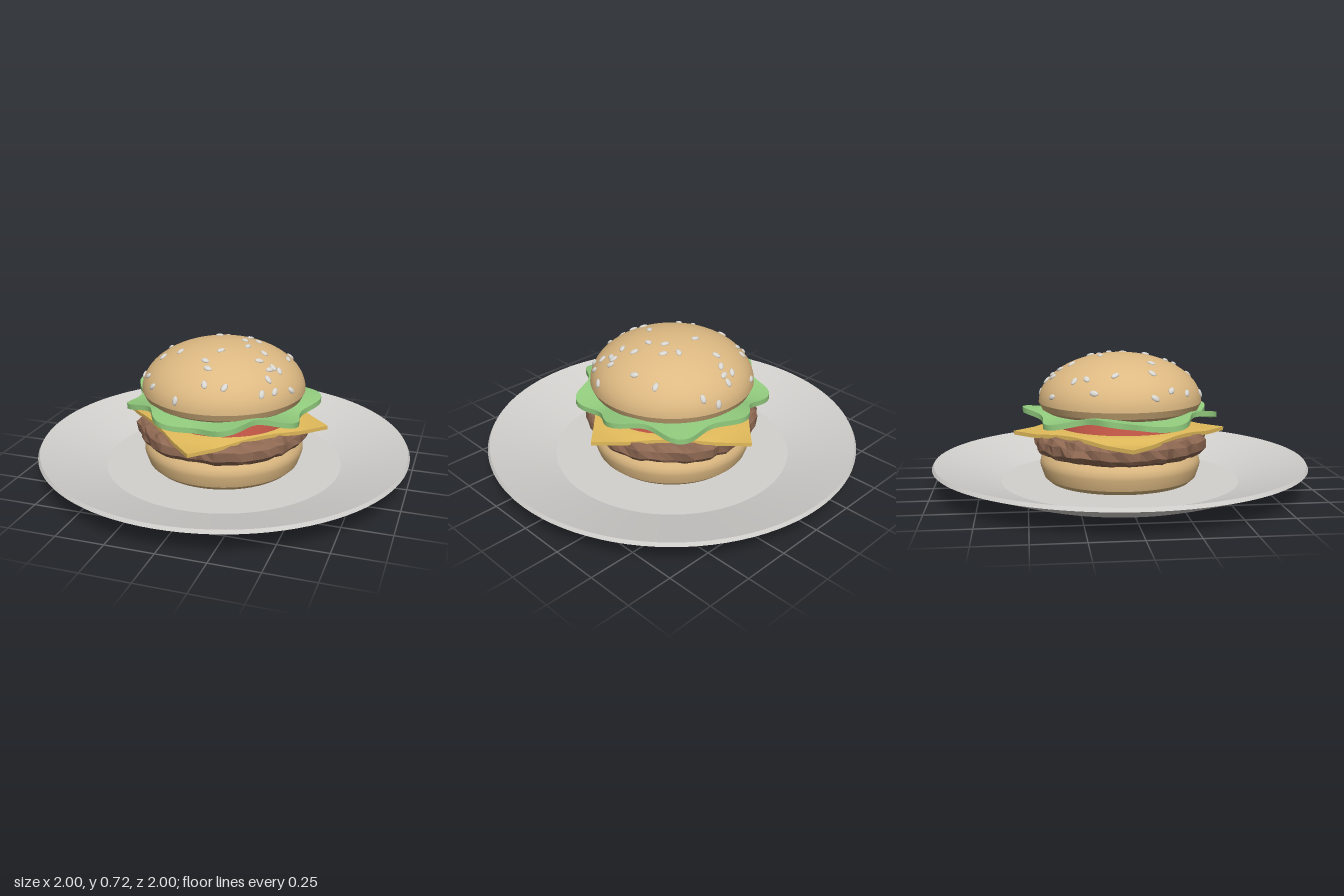
import * as THREE from 'three';
import { toCreasedNormals } from 'three/addons/utils/BufferGeometryUtils.js';

const mat = (name, color) => {
  const m = new THREE.MeshStandardMaterial({ color });
  m.name = name;
  return m;
};

// Small seeded random generator
function seeded(seed) {
  let s = seed;
  return () => (s = (s * 16807) % 2147483647) / 2147483647;
}

const lathe = (points, segments) =>
  new THREE.LatheGeometry(points.map(([x, y]) => new THREE.Vector2(x, y)), segments);

// Move every vertex by a rule, in place
function reshape(geo, rule) {
  const p = geo.attributes.position;
  const v = new THREE.Vector3();
  for (let i = 0; i < p.count; i++) {
    v.fromBufferAttribute(p, i);
    rule(v, i);
    p.setXYZ(i, v.x, v.y, v.z);
  }
  return geo;
}

// Upper bun is a half ellipsoid above its widest line
const BUN = { r: 0.435, base: 0.46, h: 0.258 };

// Seed positions on the bun seen from above, in hundredths (x, z pairs)
const SEEDS = [
  -21, -37, -7, -36, -1, -39, -1, -36, 9, -42, 16, -38, -3, -32, -6, -26,
  -26, -26, -29, -20, -37, -17, -32, -6, -6, -11, 10, -15, 16, -10, 10, -5,
  31, -20, 33, -7, 14, 3, 23, 4, -40, 13, -29, 13, -19, 14, -34, 22,
  3, 14, -2, 24, 1, 29, 2, 37, 12, 36, -12, 41, -28, 31, 23, 13,
  30, 12, 33, 11, 29, 15, 30, 21, 34, 23, 29, 29, 40, 13,
];

export function createModel() {
  const model = new THREE.Group();
  model.name = 'burgerOnPlate';
  const ceramic = mat('ceramic', 0xd3d1ce);
  const bread = mat('bread', 0xddb982);
  const meat = mat('meat', 0x8f6953);
  const cheeseYellow = mat('cheeseYellow', 0xe0b95a);
  const tomatoRed = mat('tomatoRed', 0xd6604f);
  const leafGreen = mat('leafGreen', 0x92cc7e);
  const seedCream = mat('seedCream', 0xd9d6d0);

  const add = (name, geo, material, crease = 0.5) => {
    const mesh = new THREE.Mesh(crease === null ? geo : toCreasedNormals(geo, crease), material);
    mesh.name = name;
    model.add(mesh);
    return mesh;
  };

  // Plate: flat floor, sloping brim, thin rim
  add('plate', lathe([
    [0, 0], [0.65, 0], [0.71, 0.02], [1, 0.127], [0.99, 0.145],
    [0.64, 0.036], [0, 0.036],
  ], 96), ceramic, 0.2);

  // Lower bun
  add('bottomBun', lathe([
    [0, 0.037], [0.385, 0.037], [0.41, 0.06], [0.43, 0.12],
    [0.43, 0.14], [0.425, 0.162], [0.41, 0.185], [0, 0.19],
  ], 64), bread, 0.45);

  // Patty: lathed slab with a rough, faceted edge
  const random = seeded(41);
  const sides = 60;
  const profile = [
    [0, 0.185], [0.4, 0.185], [0.435, 0.2], [0.455, 0.225],
    [0.455, 0.27], [0.435, 0.298], [0.39, 0.306], [0, 0.306],
  ];
  const ridges = Array.from({ length: sides }, () => (random() - 0.5) * 0.025);
  const bumps = Array.from({ length: sides * profile.length }, () => random() - 0.5);
  const patty = reshape(lathe(profile, sides), (v, i) => {
    const j = i % profile.length;
    const side = Math.floor(i / profile.length) % sides;
    if (j === 0 || j === profile.length - 1) return;
    const b = bumps[side * profile.length + j];
    const r = Math.hypot(v.x, v.z);
    const k = (r + ridges[side] + b * 0.018) / r;
    v.set(v.x * k, v.y + b * 0.014, v.z * k);
  });
  add('patty', patty, meat, 0.05);

  // Cheese: square slice turned 45 degrees, corners drooping
  const cheese = new THREE.BoxGeometry(0.806, 0.02, 0.806, 20, 1, 20).rotateY(Math.PI / 4);
  reshape(cheese, (v) => {
    v.y += 0.319 - 0.024 * THREE.MathUtils.smoothstep(Math.hypot(v.x, v.z), 0.36, 0.48);
  });
  add('cheeseSlice', cheese, cheeseYellow);

  // Tomato slice, slightly off centre
  const tomato = add('tomatoSlice', new THREE.CylinderGeometry(0.36, 0.36, 0.06, 48), tomatoRed);
  tomato.position.set(0.02, 0.357, 0.02);

  // Lettuce: disc with nine scallops and five waves
  const leafProfile = [
    [0, -0.014], [0.4, -0.014], [0.7, -0.014], [0.85, -0.014], [1, -0.014],
    [1, 0.014], [0.85, 0.014], [0.7, 0.014], [0.4, 0.014], [0, 0.014],
  ];
  const leaf = reshape(lathe(leafProfile, 120), (v) => {
    const r = Math.hypot(v.x, v.z);
    const a = Math.atan2(v.x, v.z);
    const k = 0.485 - 0.035 * Math.cos(9 * a) * r * r;
    v.set(v.x * k, v.y + 0.4 - 0.022 * r * r * Math.cos(5 * a), v.z * k);
  });
  add('lettuce', leaf, leafGreen, 0.7);

  // Upper bun: tucked underside and elliptical dome
  const dome = [[0, 0.405], [0.39, 0.408], [0.418, 0.425]];
  for (let i = 0; i <= 18; i++) {
    const a = (i / 18) * Math.PI / 2;
    dome.push([BUN.r * Math.cos(a), BUN.base + BUN.h * Math.sin(a)]);
  }
  dome[dome.length - 1][0] = 0;
  add('topBun', lathe(dome, 64), bread, 0.45);

  // Sesame seeds lying on the dome
  const seeds = new THREE.Group();
  seeds.name = 'sesameSeeds';
  model.add(seeds);
  const seedGeo = new THREE.SphereGeometry(1, 12, 8).scale(0.024, 0.009, 0.015);
  const up = new THREE.Vector3(0, 1, 0);
  for (let i = 0; i < SEEDS.length; i += 2) {
    const x = SEEDS[i] / 100;
    const z = SEEDS[i + 1] / 100;
    const rise = Math.sqrt(Math.max(0, 1 - (x * x + z * z) / BUN.r ** 2));
    const normal = new THREE.Vector3(x / BUN.r ** 2, rise / BUN.h, z / BUN.r ** 2).normalize();
    const seed = new THREE.Mesh(seedGeo, seedCream);
    seed.name = 'sesameSeed';
    seed.position.set(x, BUN.base + BUN.h * rise, z).addScaledVector(normal, 0.001);
    seed.quaternion.setFromUnitVectors(up, normal);
    seed.rotateY(random() * Math.PI);
    seeds.add(seed);
  }

  return model;
}
